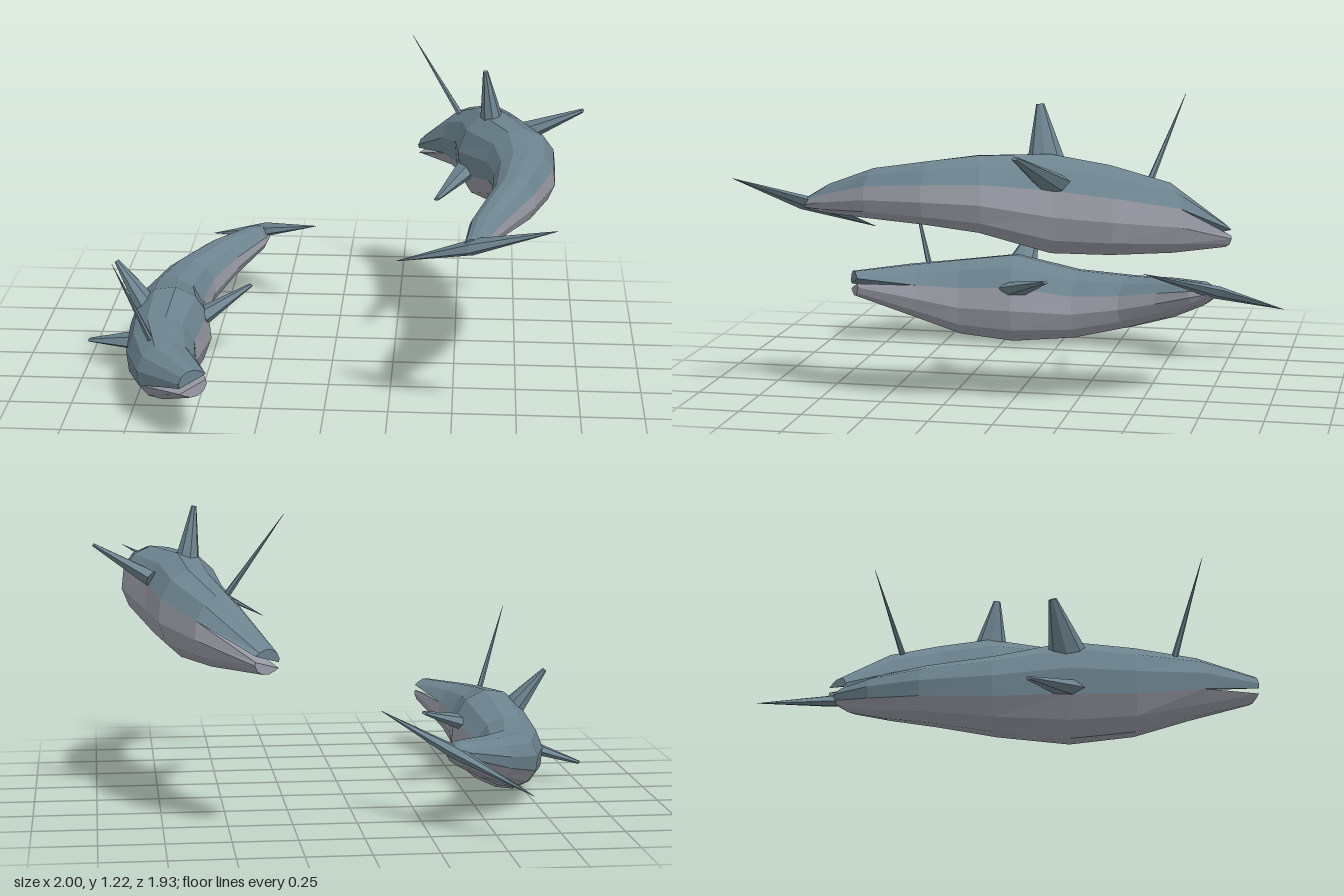
import * as THREE from 'three';

const slate = new THREE.MeshStandardMaterial({ color: 0x6c838e });
slate.name = 'slateSkin';
const pale = new THREE.MeshStandardMaterial({ color: 0x9a9ca6 });
pale.name = 'paleBelly';

const SIDES = 12, HALF = SIDES / 2;
const V = (a) => new THREE.Vector3(...a);

function addMesh(parent, geometry, material, name) {
  const mesh = new THREE.Mesh(geometry, material);
  mesh.name = name;
  parent.add(mesh);
  return mesh;
}

// Rings of the body from nose to tail; each section is [x, z, halfWidth, yLow, yHigh]
function bodyRings(sections, roll) {
  return sections.map(([x, z, w, lo, hi], s) => {
    const a = sections[Math.max(s - 1, 0)], b = sections[Math.min(s + 1, sections.length - 1)];
    const fwd = new THREE.Vector3(a[0] - b[0], 0, a[1] - b[1]).normalize();
    const side = new THREE.Vector3(0, 1, 0).cross(fwd);
    const ring = [];
    for (let i = 0; i < SIDES; i++) {
      const t = roll + (i / SIDES) * Math.PI * 2;
      const p = new THREE.Vector3(x, (lo + hi) / 2, z).addScaledVector(side, w * Math.cos(t));
      p.y += ((hi - lo) / 2) * Math.sin(t);
      ring.push(p);
    }
    return ring;
  });
}

// Upper or lower half of the skin, with its jaw closed by a lip and a palate
function halfSkin(rings, start, lipShift) {
  const rows = rings.map((ring, s) => {
    const row = [];
    for (let i = 0; i <= HALF; i++) {
      const p = ring[(start + i) % SIDES].clone();
      if (s === 0 && (i === 0 || i === HALF)) p.y += lipShift;
      row.push(p);
    }
    return row;
  });
  const pos = [];
  const tri = (...pts) => pts.forEach((p) => pos.push(p.x, p.y, p.z));
  const quad = (a, b, c, d) => { tri(a, b, c); tri(a, c, d); };
  for (let s = 0; s < rows.length - 1; s++) {
    for (let i = 0; i < HALF; i++) {
      quad(rows[s][i], rows[s + 1][i], rows[s + 1][i + 1], rows[s][i + 1]);
    }
  }
  const [nose, jaw] = rows, tail = rows[rows.length - 1];
  for (let i = 1; i < HALF; i++) {
    tri(nose[0], nose[i], nose[i + 1]);
    tri(tail[0], tail[i + 1], tail[i]);
  }
  quad(nose[0], nose[HALF], jaw[HALF], jaw[0]);
  const g = new THREE.BufferGeometry();
  g.setAttribute('position', new THREE.Float32BufferAttribute(pos, 3));
  g.computeVertexNormals();
  return g;
}

// Tapered flattened spike from base to tip, its chord lying along the given direction
function spike(base, tip, chordDir, chord, thick, tipRatio, sides) {
  const b = V(base), axis = V(tip).sub(b);
  const up = axis.clone().normalize();
  const x = V(chordDir);
  x.addScaledVector(up, -x.dot(up)).normalize();
  const z = x.clone().cross(up);
  const g = new THREE.CylinderGeometry(tipRatio, 1, 1, sides).toNonIndexed();
  g.translate(0, 0.5, 0);
  g.rotateY(Math.PI / 2);
  g.applyMatrix4(new THREE.Matrix4().makeBasis(x.multiplyScalar(chord), axis, z.multiplyScalar(thick)).setPosition(b));
  g.computeVertexNormals();
  return g;
}

function createWhale(name, d) {
  const whale = new THREE.Group();
  whale.name = name;
  const rings = bodyRings(d.sections, d.roll);
  addMesh(whale, halfSkin(rings, 0, 0.01), slate, 'back');
  addMesh(whale, halfSkin(rings, HALF, -0.012), pale, 'belly');

  // Fins on the back and the flanks
  addMesh(whale, spike(...d.dorsal, d.forward, 0.075, 0.05, 0.2, 8), slate, 'dorsalFin');
  addMesh(whale, spike(...d.leftFin, d.forward, 0.07, 0.035, 0.2, 6), slate, 'leftFlipper');
  addMesh(whale, spike(...d.rightFin, d.forward, 0.07, 0.035, 0.2, 6), slate, 'rightFlipper');

  // Tail flukes spread from a shared middle
  const middle = V(d.flukes[0]).add(V(d.flukes[1])).multiplyScalar(0.5).toArray();
  d.flukes.forEach((tip, i) => {
    addMesh(whale, spike(middle, tip, d.tailForward, 0.055, 0.025, 0.03, 6), slate, i ? 'rightFluke' : 'leftFluke');
  });

  // Slender horn on the brow
  addMesh(whale, spike(...d.horn, d.forward, 0.013, 0.013, 0.05, 6), slate, 'horn');
  return whale;
}

export function createModel() {
  const model = new THREE.Group();
  model.name = 'whalePair';
  model.add(createWhale('lowerWhale', {
    roll: 0.38,
    sections: [
      [-0.465, 0.88, 0.058, 0.21, 0.32], [-0.595, 0.655, 0.12, 0.1, 0.335],
      [-0.645, 0.44, 0.14, 0.02, 0.357], [-0.64, 0.2, 0.165, 0, 0.39],
      [-0.67, -0.07, 0.143, 0.022, 0.325], [-0.625, -0.31, 0.12, 0.085, 0.317],
      [-0.515, -0.5, 0.102, 0.16, 0.335], [-0.385, -0.645, 0.075, 0.245, 0.35],
      [-0.345, -0.705, 0.04, 0.295, 0.335],
    ],
    forward: [0.05, 0, 1],
    tailForward: [-0.6, -0.25, 0.75],
    dorsal: [[-0.73, 0.3, 0.2], [-0.86, 0.475, 0.15]],
    leftFin: [[-0.53, 0.25, 0.19], [-0.335, 0.33, 0.01]],
    rightFin: [[-0.75, 0.16, 0.21], [-0.995, 0.096, 0.07]],
    flukes: [[-0.1, 0.43, -0.445], [-0.6, 0.2, -0.97]],
    horn: [[-0.66, 0.31, 0.59], [-0.785, 0.67, 0.705]],
  }));
  model.add(createWhale('upperWhale', {
    roll: -0.38,
    sections: [
      [0.37, -0.815, 0.065, 0.645, 0.74], [0.53, -0.63, 0.118, 0.643, 0.915],
      [0.62, -0.42, 0.142, 0.643, 0.99], [0.65, -0.2, 0.157, 0.647, 1.03],
      [0.75, 0.05, 0.143, 0.735, 1.03], [0.762, 0.23, 0.12, 0.76, 1.005],
      [0.718, 0.45, 0.088, 0.768, 0.965], [0.61, 0.66, 0.063, 0.765, 0.88],
      [0.575, 0.76, 0.04, 0.775, 0.82],
    ],
    forward: [-0.1, 0, -1],
    tailForward: [0.4, 0.15, -0.85],
    dorsal: [[0.635, 0.98, -0.185], [0.603, 1.205, -0.155]],
    leftFin: [[0.77, 0.93, -0.24], [0.995, 1.055, -0.14]],
    rightFin: [[0.54, 0.8, -0.15], [0.42, 0.74, 0.075]],
    flukes: [[0.87, 0.93, 0.96], [0.28, 0.66, 0.575]],
    horn: [[0.5, 0.91, -0.555], [0.295, 1.22, -0.66]],
  }));
  return model;
}
